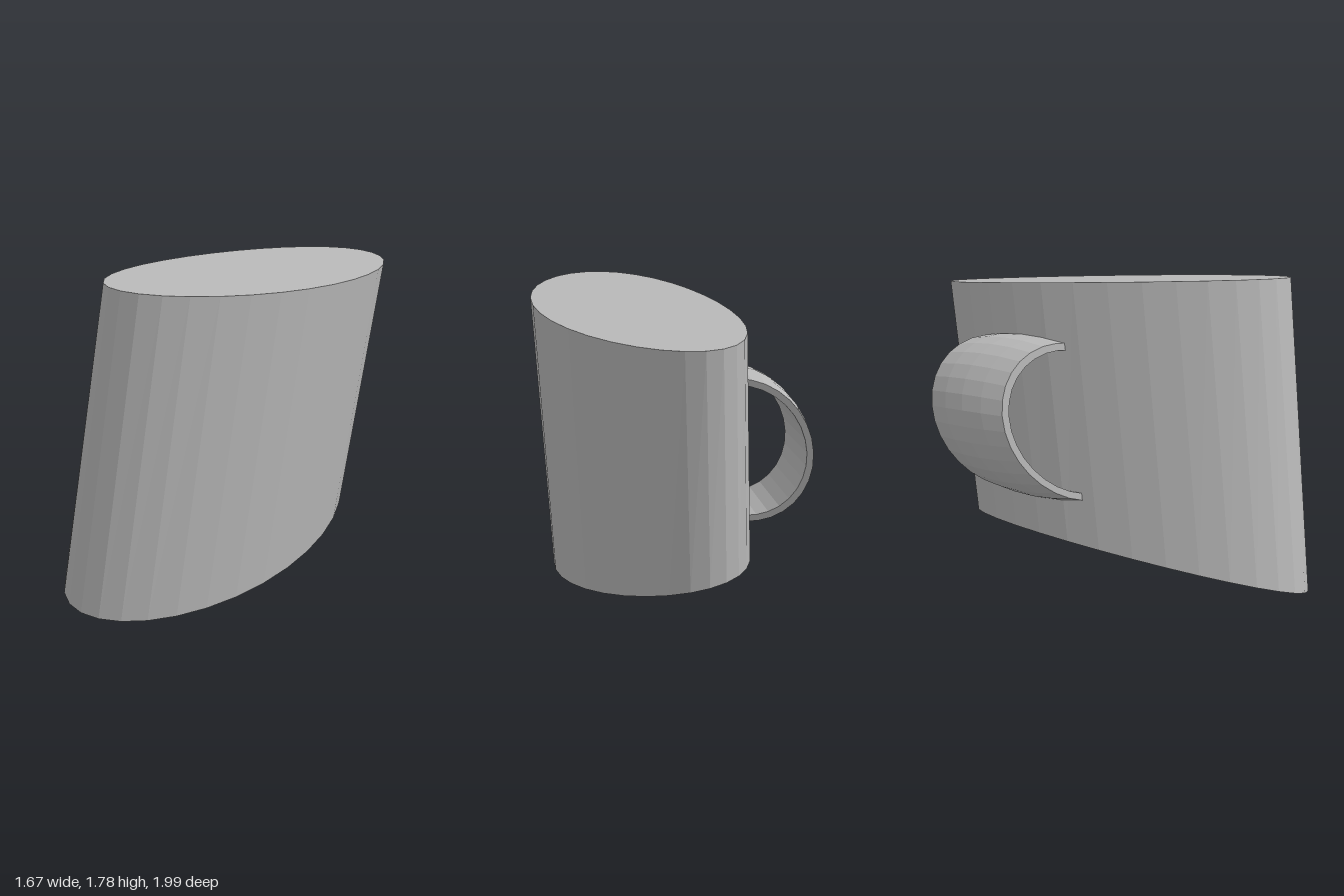
import * as THREE from 'three';

const grey = new THREE.MeshStandardMaterial({ color: 0xb8b8b8, flatShading: true });
grey.name = 'plain grey';

// Move every vertex of a geometry by a rule
function reshape(geometry, rule) {
  const pos = geometry.attributes.position;
  const v = new THREE.Vector3();
  for (let i = 0; i < pos.count; i++) {
    v.fromBufferAttribute(pos, i);
    const p = rule(v);
    pos.setXYZ(i, p.x, p.y, p.z);
  }
  geometry.computeVertexNormals();
  return geometry;
}

// Slanted rims: centre, half-widths, x-z correlation and slopes of the plane
const rims = {
  top: { c: [0.127, 1.745, 0.098], rx: 0.707, rz: 0.867, corr: -0.605, sx: -0.054, sz: 0.003 },
  bottom: { c: [-0.112, 0.196, 0.158], rx: 0.728, rz: 0.842, corr: -0.59, sx: -0.049, sz: -0.25 },
};

function rimPoint({ c, rx, rz, corr, sx, sz }, u, v) {
  const b = Math.asin(corr) / 2;
  // the middle of the long axis bows towards the front left
  const bow = 0.027 * (1 - 0.7 * (u - v) ** 2);
  const x = rx * (u * Math.cos(b) + v * Math.sin(b)) + bow;
  const z = rz * (u * Math.sin(b) + v * Math.cos(b)) + bow;
  return new THREE.Vector3(c[0] + x, c[1] + sx * x + sz * z, c[2] + z);
}

export function createModel() {
  const group = new THREE.Group();
  group.name = 'skewedMug';

  // Closed leaning body
  const body = new THREE.Mesh(
    reshape(new THREE.CylinderGeometry(1, 1, 1, 32), (p) =>
      rimPoint(p.y > 0 ? rims.top : rims.bottom, p.x, p.z)),
    grey
  );
  body.name = 'body';
  group.add(body);

  // Handle: a wide strip, slightly bulged outside, bent along a half ellipse into the back wall
  const centre = new THREE.Vector3(-0.24, 0.995, -0.26);
  const up = new THREE.Vector3(0.08, 0.43, -0.01);
  const out = new THREE.Vector3(-0.005, 0.06, -0.432);
  const across = new THREE.Vector3(0.37, 0.015, -0.308);
  const handle = new THREE.Mesh(
    reshape(new THREE.BoxGeometry(1, 1, 1, 4, 16, 1), (p) => {
      const s = (0.5 - p.y) * Math.PI;
      const k = p.z > 0 ? 0.91 : 1 + 0.06 * (1 - 4 * p.x * p.x);
      return centre.clone()
        .addScaledVector(up, k * Math.cos(s))
        .addScaledVector(out, k * Math.sin(s))
        .addScaledVector(across, p.x + 0.5);
    }),
    grey
  );
  handle.name = 'handle';
  group.add(handle);

  return group;
}
